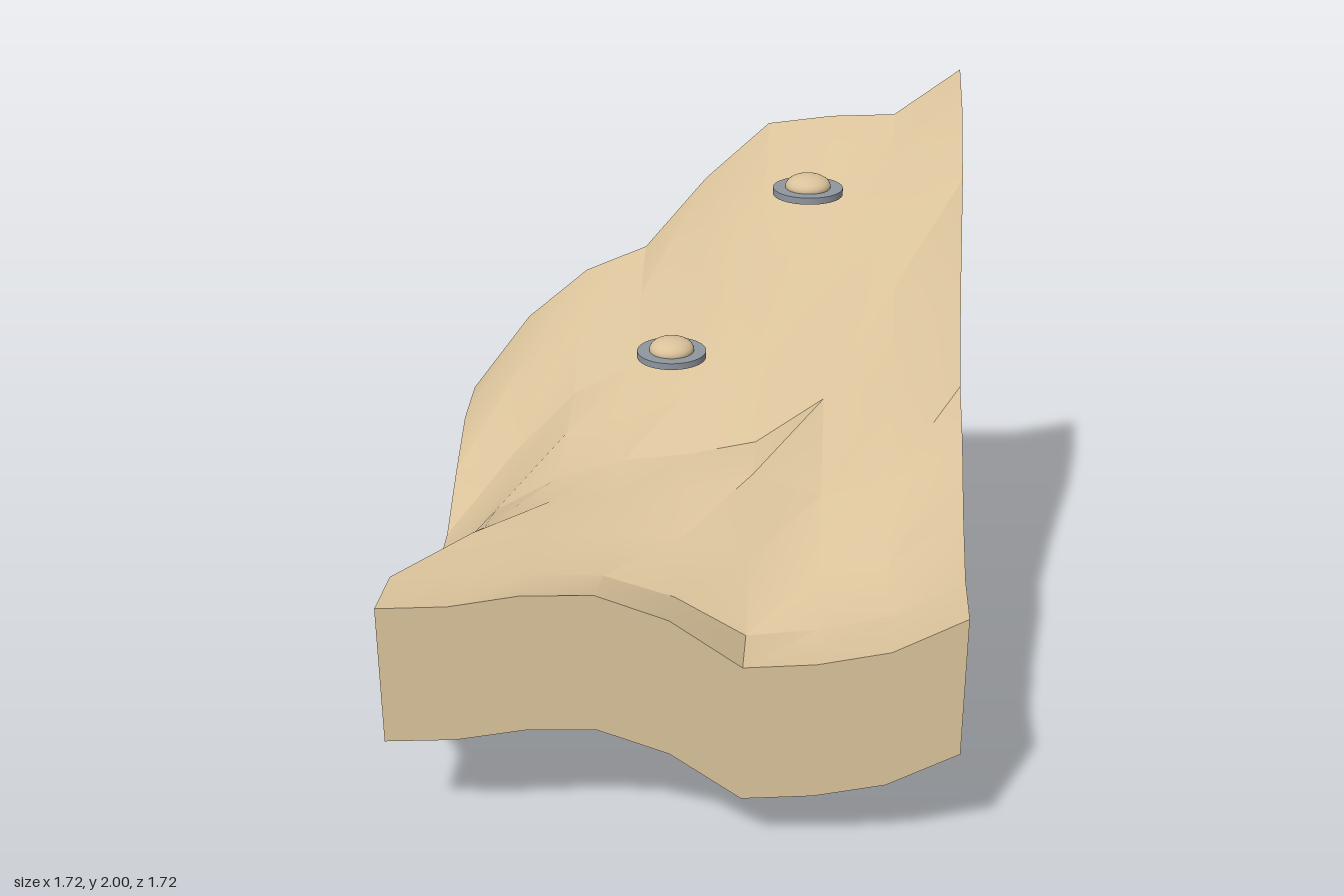
import * as THREE from 'three';
import { toCreasedNormals } from 'three/addons/utils/BufferGeometryUtils.js';

const HALF = 0.859, N = 8, STEP = (2 * HALF) / N, SKIRT = 0.46;

// Ground heights: rows run back to front, columns run from -x to +x
const HEIGHTS = [
  [0.77, 1.06, 1.245, 1.34, 1.60, 1.80, 1.83, 1.84, 2.00],
  [0.745, 0.96, 1.14, 1.24, 1.44, 1.61, 1.69, 1.76, 1.925],
  [0.63, 0.72, 0.95, 1.07, 1.23, 1.41, 1.53, 1.63, 1.75],
  [0.495, 0.68, 0.90, 0.98, 1.09, 1.20, 1.33, 1.45, 1.44],
  [0.463, 0.71, 0.84, 0.91, 0.94, 0.99, 1.15, 1.22, 1.205],
  [0.535, 0.76, 0.86, 0.88, 0.93, 0.98, 0.91, 0.97, 1.12],
  [0.65, 0.853, 0.87, 0.865, 0.855, 0.80, 0.76, 0.80, 0.97],
  [0.81, 0.83, 0.84, 0.84, 0.775, 0.65, 0.68, 0.735, 0.865],
  [0.825, 0.84, 0.885, 0.895, 0.82, 0.67, 0.69, 0.74, 0.86],
];

const point = (col, row) =>
  new THREE.Vector3(-HALF + col * STEP, HEIGHTS[row][col], -HALF + row * STEP);

// Hillside: a flat grid raised by the heights, smooth except at sharp folds
function hillside() {
  const geo = new THREE.PlaneGeometry(2 * HALF, 2 * HALF, N, N).rotateX(-Math.PI / 2);
  const pos = geo.attributes.position;
  for (let i = 0; i < pos.count; i++) {
    pos.setY(i, HEIGHTS[Math.floor(i / (N + 1))][i % (N + 1)]);
  }
  return toCreasedNormals(geo, 0.42);
}

// Vertical wall of constant depth hanging below one edge
function wall(edge) {
  const verts = [], index = [];
  edge.forEach((p, i) => {
    verts.push(p.x, p.y, p.z, p.x, p.y - SKIRT, p.z);
    if (i < edge.length - 1) {
      const a = 2 * i;
      index.push(a, a + 1, a + 2, a + 1, a + 3, a + 2);
    }
  });
  const geo = new THREE.BufferGeometry();
  geo.setAttribute('position', new THREE.Float32BufferAttribute(verts, 3));
  geo.setIndex(index);
  geo.computeVertexNormals();
  return geo;
}

export function createModel() {
  const model = new THREE.Group();
  const sand = new THREE.MeshStandardMaterial({ color: 0xd9c29a, side: THREE.DoubleSide });
  sand.name = 'sand';
  const metal = new THREE.MeshStandardMaterial({ color: 0x8f969f });
  metal.name = 'greyMetal';

  const add = (parent, name, geo, mat) => {
    const mesh = new THREE.Mesh(geo, mat);
    mesh.name = name;
    parent.add(mesh);
    return mesh;
  };

  // Ground and its four side walls, open underneath
  add(model, 'hillside', hillside(), sand);
  const steps = [...Array(N + 1).keys()];
  add(model, 'frontWall', wall(steps.map(i => point(i, N))), sand);
  add(model, 'backWall', wall(steps.map(i => point(N - i, 0))), sand);
  add(model, 'leftWall', wall(steps.map(i => point(N, N - i))), sand);
  add(model, 'rightWall', wall(steps.map(i => point(0, i))), sand);

  // Two hovering markers: a flat disc with a squashed ball through it
  for (const [x, y, z] of [[-0.074, 1.2, -0.218], [0.358, 1.7, -0.433]]) {
    const marker = new THREE.Group();
    marker.name = 'hoveringMarker';
    marker.position.set(x, y, z);
    add(marker, 'disc', new THREE.CylinderGeometry(0.114, 0.114, 0.022, 40), metal);
    const ball = add(marker, 'ball', new THREE.SphereGeometry(0.074, 32, 20), sand);
    ball.scale.y = 0.53;
    ball.position.y = 0.016;
    model.add(marker);
  }
  return model;
}
